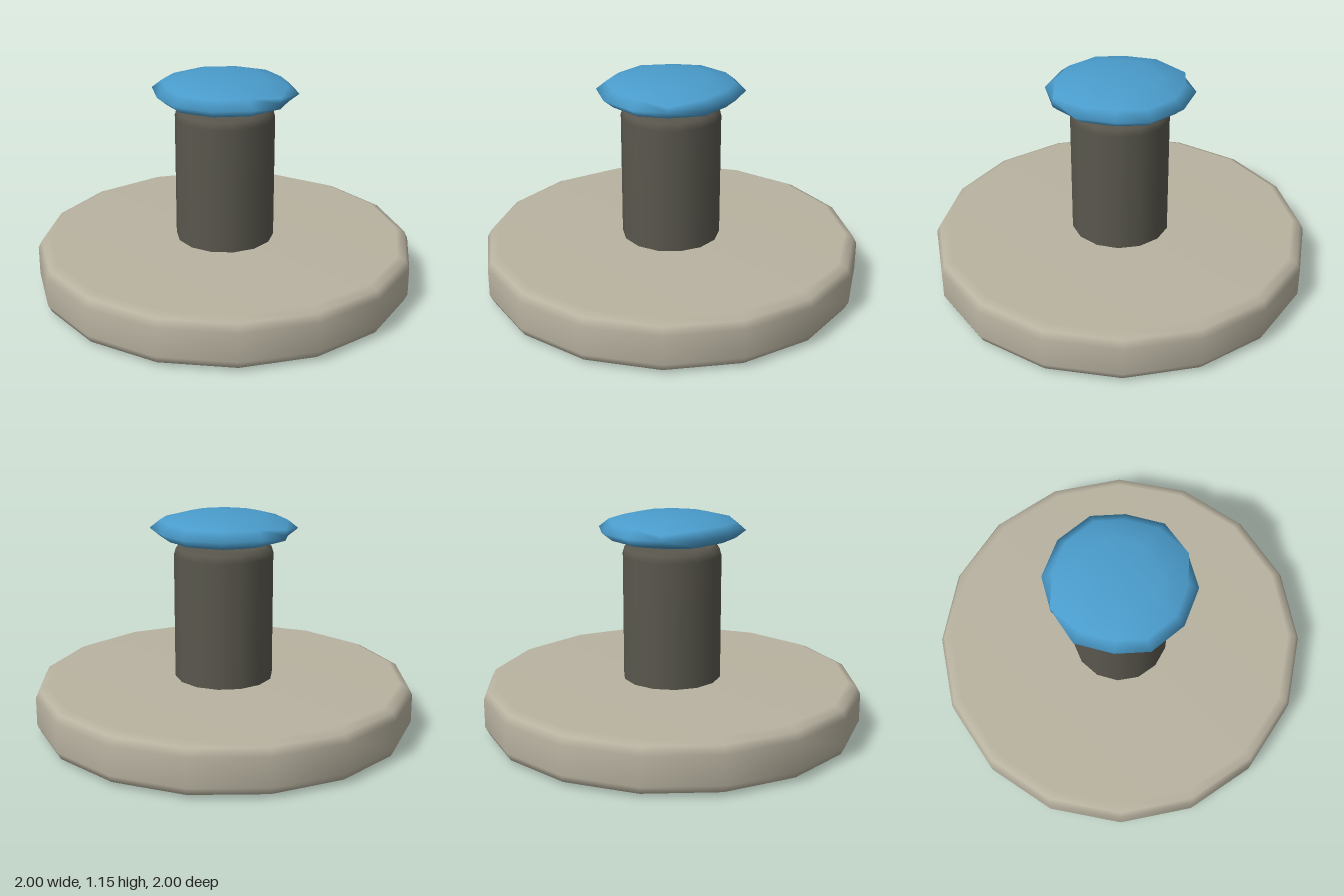
import * as THREE from 'three';
import { mergeVertices } from 'three/addons/utils/BufferGeometryUtils.js';

const material = (name, color) => Object.assign(new THREE.MeshStandardMaterial({ color }), { name });

// Turned solid from [radius, height] pairs, bottom to top
const turned = (profile, sides) =>
  new THREE.LatheGeometry(profile.map(([r, y]) => new THREE.Vector2(r, y)), sides);

// Slightly irregular squashed ball: rings scaled from a faceted outline
function knobGeometry() {
  const half = [[0, 0.385], [0.198, 0.326], [0.342, 0.176], [0.364, 0], [0.326, -0.203], [0.166, -0.326]];
  const outline = [...half, ...half.map(([x, z]) => [-x, -z])];
  const rings = [[0, -1], [0.55, -0.83], [0.86, -0.5], [1, 0], [0.86, 0.5], [0.55, 0.83], [0, 1]];
  const geometry = turned(rings, outline.length);
  const position = geometry.attributes.position;
  for (let i = 0; i <= outline.length; i++) {
    const [x, z] = outline[i % outline.length];
    rings.forEach(([r, y], j) => {
      // Blunt the left and right tips with a short upright edge
      const blunt = i % 6 === 3 && (j === 2 || j === 4);
      const radius = blunt ? 1 : r;
      const height = blunt ? Math.sign(y) * 0.32 : y;
      position.setXYZ(i * rings.length + j, x * radius, height * 0.085, z * radius);
    });
  }
  // Weld the seam and poles so the shading stays smooth
  geometry.deleteAttribute('uv');
  geometry.deleteAttribute('normal');
  const welded = mergeVertices(geometry);
  welded.computeVertexNormals();
  return welded;
}

export function createModel() {
  const model = new THREE.Group();
  const add = (name, geometry, mat, y = 0) => {
    const mesh = new THREE.Mesh(geometry, mat);
    mesh.name = name;
    mesh.position.y = y;
    model.add(mesh);
  };

  // Wide sixteen-sided foot with rounded rims
  add('base', turned([
    [0, 0], [0.935, 0], [0.98, 0.02], [1, 0.06],
    [1, 0.21], [0.98, 0.25], [0.935, 0.27], [0, 0.27],
  ], 16), material('warm stone', 0xb8b2a0));

  // Upright post with a rounded top edge
  add('post', turned([
    [0.26, 0.2], [0.26, 0.93], [0.25, 0.965], [0.22, 0.983], [0, 0.983],
  ], 14), material('dark grey', 0x59574d));

  // Flattened cap resting on the post
  add('knob', knobGeometry(), material('blue', 0x4a9ccc), 1.065);

  return model;
}
